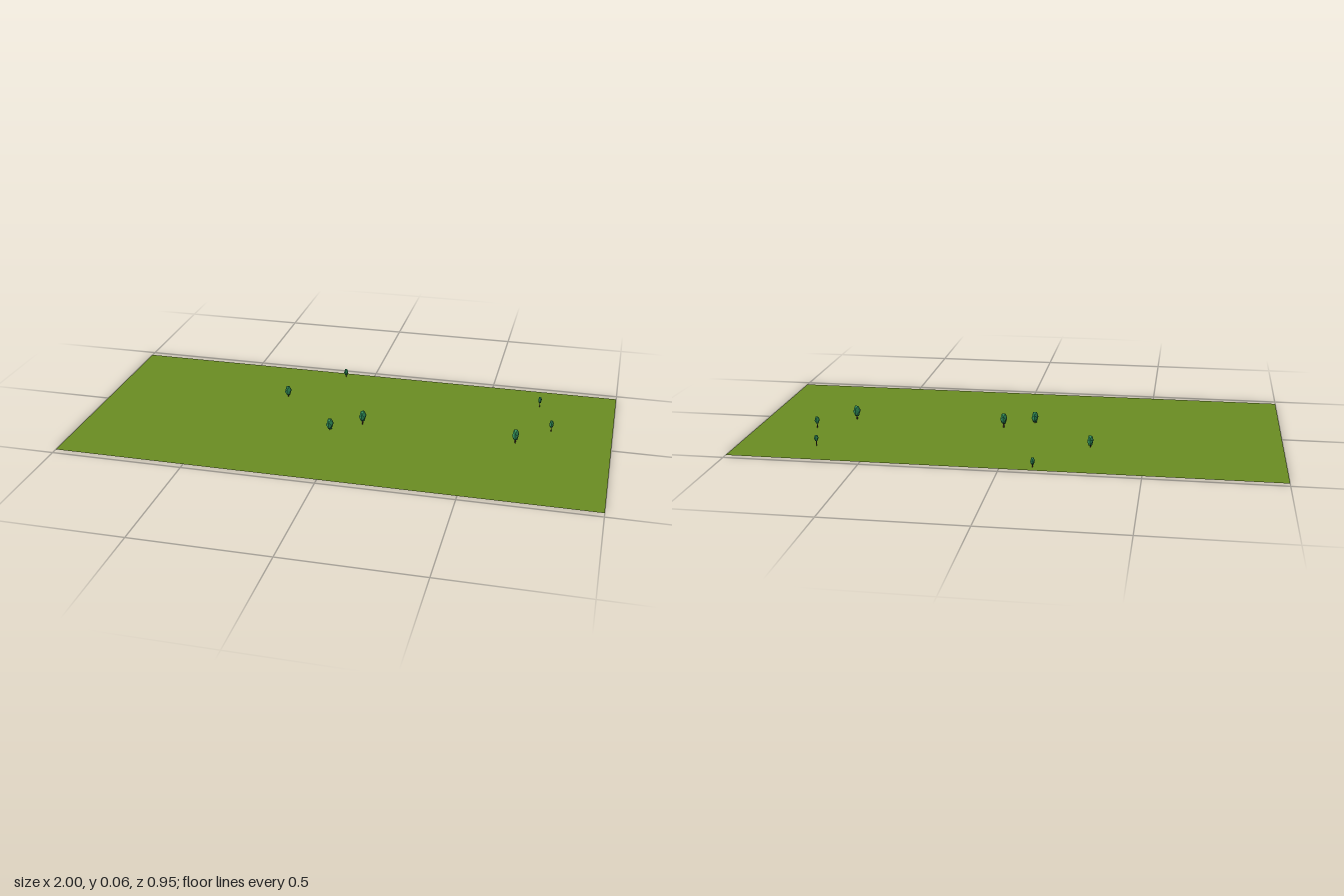
import * as THREE from 'three';

export function createModel() {
  const model = new THREE.Group();
  model.name = 'meadow';

  const grass = new THREE.MeshStandardMaterial({ color: 0x6b8e23, side: THREE.DoubleSide });
  const bark = new THREE.MeshStandardMaterial({ color: 0x5c4033, flatShading: true });
  const leaves = new THREE.MeshStandardMaterial({ color: 0x2e8b57, flatShading: true });

  // Flat ground sheet
  const ground = new THREE.Mesh(new THREE.PlaneGeometry(2, 0.946), grass);
  ground.name = 'ground';
  ground.rotation.x = -Math.PI / 2;
  model.add(ground);

  // Trees are squashed along x; the icosahedron reaches 0.8507 of its radius on each axis
  const squash = 0.55;
  const crownGeometry = new THREE.IcosahedronGeometry(1 / 0.8507, 0);
  const trunkGeometry = new THREE.CylinderGeometry(1, 1, 1, 8).translate(0, 0.5, 0);

  function addTree(x, z, crownY, crownHalf) {
    const tree = new THREE.Group();
    tree.name = 'tree';
    tree.position.set(x, 0, z);

    const trunk = new THREE.Mesh(trunkGeometry, bark);
    trunk.name = 'trunk';
    const r = crownHalf * 0.18;
    trunk.scale.set(r * squash, crownY, r);

    const crown = new THREE.Mesh(crownGeometry, leaves);
    crown.name = 'crown';
    crown.position.y = crownY;
    crown.scale.set(crownHalf * squash, crownHalf, crownHalf);

    tree.add(trunk, crown);
    model.add(tree);
  }

  // x, z, crown centre height, crown half-size
  [
    [-0.055, 0.07, 0.024, 0.021],
    [0.648, 0.017, 0.034, 0.021],
    [0.057, -0.004, 0.036, 0.021],
    [0.77, -0.113, 0.031, 0.014],
    [-0.296, -0.19, 0.025, 0.019],
    [0.706, -0.326, 0.031, 0.012],
    [-0.115, -0.438, 0.022, 0.013],
  ].forEach((t) => addTree(...t));

  return model;
}
